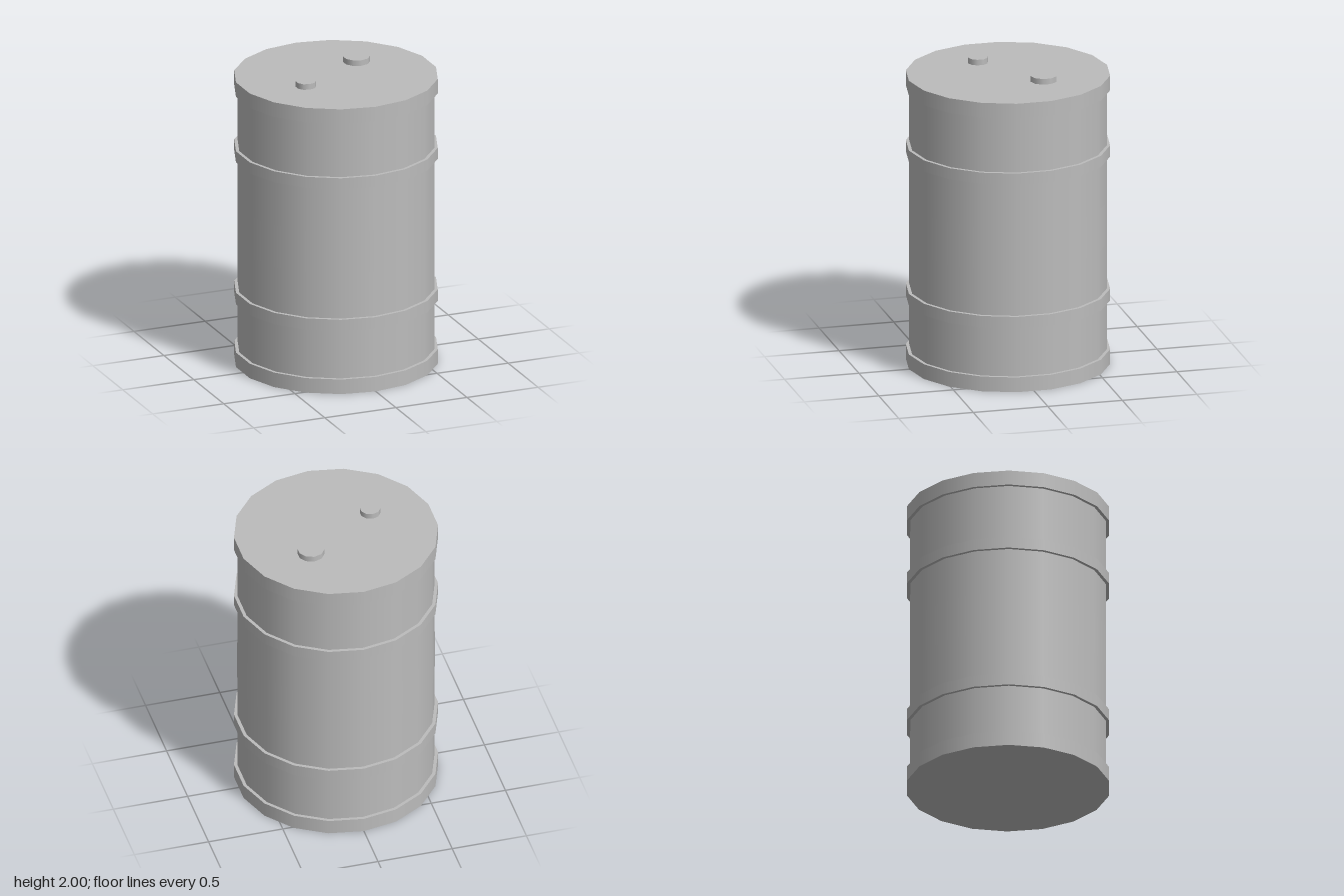
import * as THREE from 'three';

export function createModel() {
  const drum = new THREE.Group();
  drum.name = 'drum';
  const steel = new THREE.MeshStandardMaterial({ color: 0xbcbcbc });
  steel.name = 'grey steel';

  // Upright cylinder between two heights
  function addCylinder(name, radius, bottom, top, sides, x = 0, z = 0, open = false) {
    const geometry = new THREE.CylinderGeometry(radius, radius, top - bottom, sides, 1, open);
    const mesh = new THREE.Mesh(geometry, steel);
    mesh.name = name;
    mesh.position.set(x, (bottom + top) / 2, z);
    drum.add(mesh);
  }

  const SIDES = 18;
  const RIM = 0.665;

  // Shell and the thin band wrapped round its middle
  addCylinder('body', 0.643, 0.02, 1.94, SIDES);
  addCylinder('labelBand', 0.645, 0.82, 1.105, SIDES, 0, 0, true);

  // End rims and rolling hoops
  addCylinder('bottomRim', RIM, 0, 0.1, SIDES);
  addCylinder('lowerHoop', RIM, 0.433, 0.512, SIDES);
  addCylinder('upperHoop', RIM, 1.411, 1.487, SIDES);
  addCylinder('topRim', RIM, 1.862, 1.962, SIDES);

  // Screw plugs in the lid
  addCylinder('largePlug', 0.088, 1.95, 2, 10, 0.22, -0.18);
  addCylinder('smallPlug', 0.067, 1.95, 2, 10, -0.267, 0.131);

  return drum;
}
